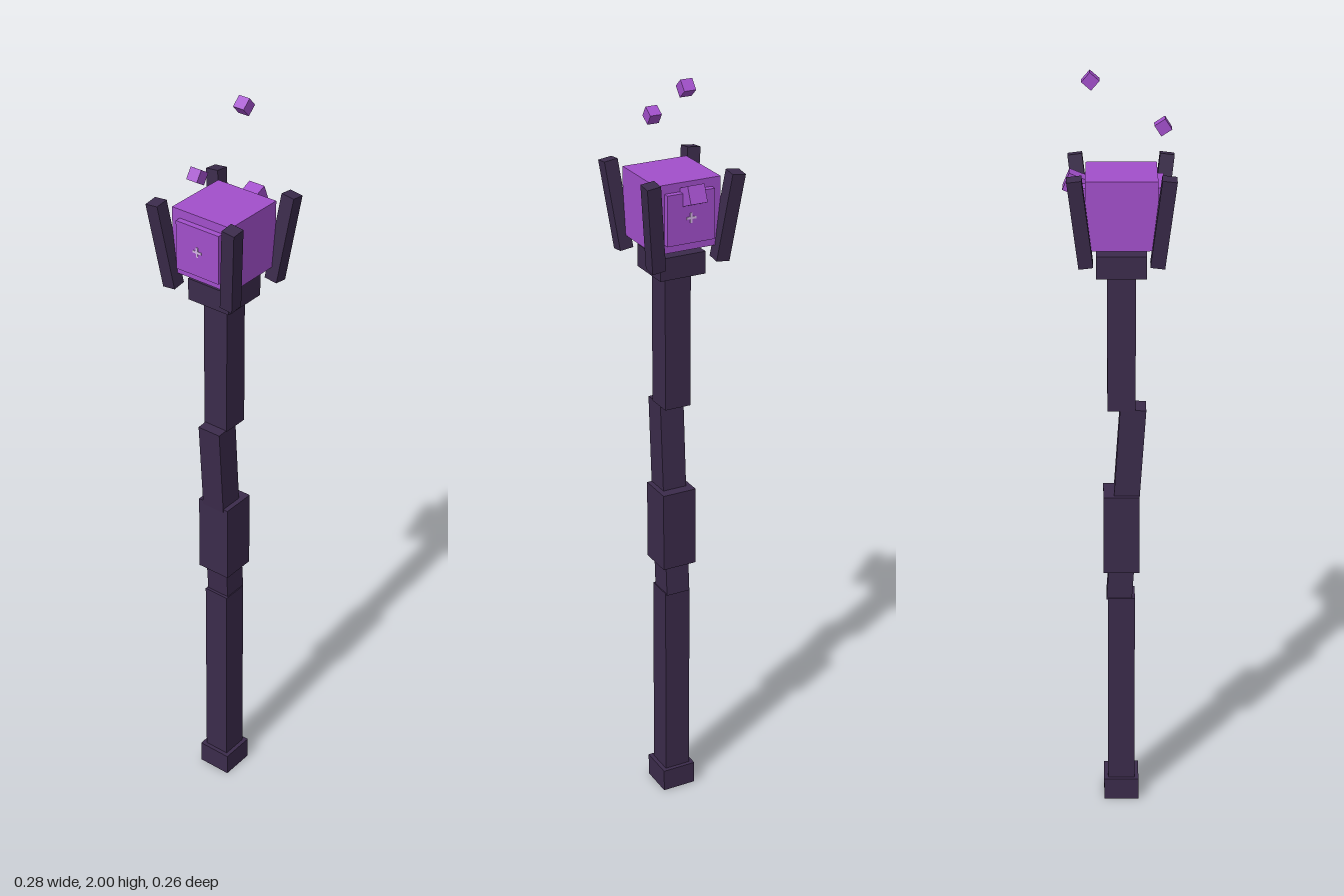
import * as THREE from 'three';

export function createModel() {
  const model = new THREE.Group();
  const make = (name, color) => {
    const m = new THREE.MeshStandardMaterial({ color });
    m.name = name;
    return m;
  };
  const darkWood = make('dark plum', 0x3b2b4b);
  const crystal = make('crystal purple', 0xa24fcb);
  const glint = make('pale lilac', 0xd9b8ea);
  const CX = -0.006; // axis of the staff

  const box = (name, mat, size, pos, rotZ = 0) => {
    const mesh = new THREE.Mesh(new THREE.BoxGeometry(...size), mat);
    mesh.name = name;
    mesh.position.set(...pos);
    mesh.rotation.z = rotZ;
    model.add(mesh);
    return mesh;
  };
  // Upright square section of the staff between two heights
  const section = (name, width, y0, y1) =>
    box(name, darkWood, [width, y1 - y0, width], [CX, (y0 + y1) / 2, 0]);

  // Staff, bottom to top
  section('footCap', 0.093, 0, 0.062);
  section('lowerShaft', 0.071, 0.062, 0.61);
  section('grip', 0.093, 0.69, 0.905);
  section('upperShaft', 0.071, 1.14, 1.5);
  section('collar', 0.124, 1.5, 1.558);
  // Crooked piece running through the grip
  box('crookedShaft', darkWood, [0.066, 0.54, 0.066], [-0.018, 0.873, 0], 0.066);

  // Four prongs leaning outwards around the crystal
  const up = new THREE.Vector3(0, 1, 0);
  for (const sx of [-1, 1]) {
    for (const sz of [-1, 1]) {
      const low = new THREE.Vector3(CX + sx * 0.087, 1.544, sz * 0.087);
      const high = new THREE.Vector3(CX + sx * 0.114, 1.768, sz * 0.114);
      const dir = high.clone().sub(low);
      const mid = low.clone().add(high).multiplyScalar(0.5);
      const prong = box('prong', darkWood, [0.036, dir.length(), 0.036], mid.toArray());
      prong.quaternion.setFromUnitVectors(up, dir.normalize());
    }
  }

  // Crystal block with raised side panels
  box('crystalCore', crystal, [0.175, 0.173, 0.175], [CX, 1.667, 0]);
  for (const s of [-1, 1]) {
    box('sidePanel', crystal, [0.016, 0.128, 0.128], [CX + s * 0.095, 1.667, 0]);
    // Tiny cross-shaped glint
    box('glint', glint, [0.002, 0.006, 0.026], [CX + s * 0.1035, 1.667, 0]);
    box('glint', glint, [0.002, 0.026, 0.006], [CX + s * 0.1035, 1.667, 0]);
  }

  // Loose crystal shards
  box('shard', crystal, [0.045, 0.045, 0.045], [0.108, 1.727, 0], 0.39);
  box('shard', crystal, [0.031, 0.031, 0.031], [-0.106, 1.866, 0], -0.57);
  box('shard', crystal, [0.031, 0.031, 0.031], [0.068, 1.978, 0], 0.72);

  return model;
}
